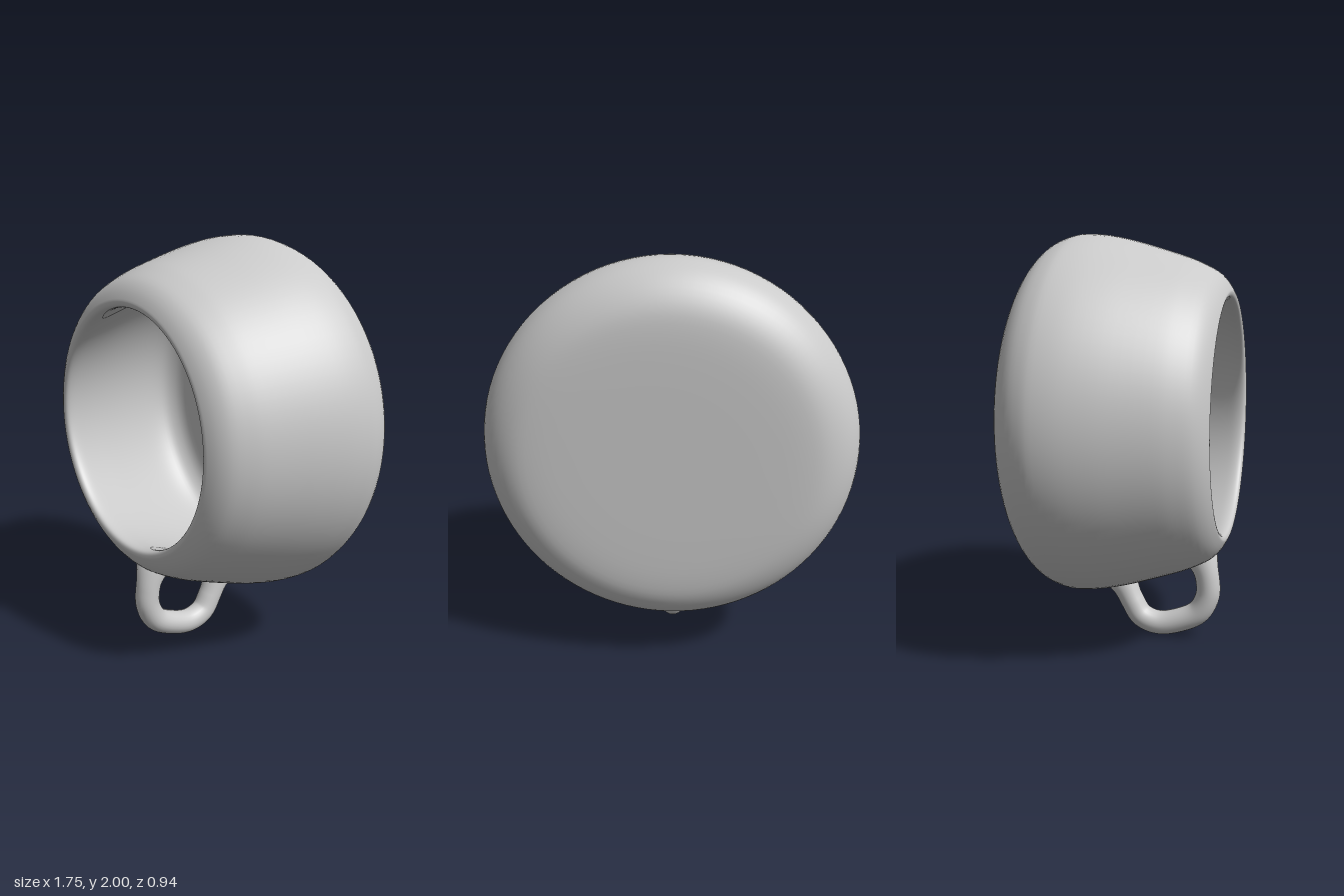
import * as THREE from 'three';

const AXIS_Y = 1.126; // height of the cup's axis

// Smooth thick-walled profile: [radius, position along the axis]
const profile = [
  [0, -0.469], [0.25, -0.469], [0.45, -0.468], [0.6, -0.463], [0.7, -0.446],
  [0.782, -0.402], [0.839, -0.34], [0.867, -0.27], [0.874, -0.21], [0.865, -0.11],
  [0.838, 0.01], [0.802, 0.13], [0.759, 0.26], [0.73, 0.33], [0.692, 0.4],
  [0.65, 0.442], [0.606, 0.467], [0.59, 0.47], [0.574, 0.463], [0.567, 0.445],
  [0.569, 0.415], [0.582, 0.37], [0.611, 0.285], [0.635, 0.215], [0.679, 0.09],
  [0.715, -0.025], [0.74, -0.125], [0.748, -0.2], [0.739, -0.258], [0.709, -0.3],
  [0.66, -0.329], [0.58, -0.341], [0.4, -0.345], [0.2, -0.345], [0, -0.345],
];

// Handle centre line: [z, y]
const handlePath = [
  [0.32, 0.45], [0.347, 0.39], [0.368, 0.31], [0.37, 0.225], [0.325, 0.135],
  [0.22, 0.08], [0.115, 0.06], [0.03, 0.09], [-0.02, 0.165], [-0.056, 0.24],
  [-0.09, 0.315],
];

// Tube along the path, flared where it grows out of the wall
function flaredTube(curve, radius, flare, rings, sides) {
  const geo = new THREE.TubeGeometry(curve, rings, radius, sides, false);
  const pos = geo.attributes.position;
  const centre = new THREE.Vector3();
  const v = new THREE.Vector3();
  const length = curve.getLength();
  for (let i = 0; i <= rings; i++) {
    curve.getPointAt(i / rings, centre);
    const d = Math.min(i, rings - i) / rings * length;
    const scale = 1 + flare * Math.exp(-Math.pow(d / 0.07, 2));
    for (let j = 0; j <= sides; j++) {
      const k = i * (sides + 1) + j;
      v.fromBufferAttribute(pos, k).sub(centre).multiplyScalar(scale).add(centre);
      pos.setXYZ(k, v.x, v.y, v.z);
    }
  }
  return geo;
}

export function createModel() {
  const model = new THREE.Group();
  model.name = 'cup';
  const grey = new THREE.MeshStandardMaterial({ color: 0xcacaca });
  grey.name = 'grey';

  // Bowl: turned shape with its mouth towards the front
  const points = new THREE.SplineCurve(profile.map(([r, z]) => new THREE.Vector2(r, z)))
    .getPoints(102);
  points.forEach((p) => { p.x = Math.max(p.x, 0); });
  const bowlGeo = new THREE.LatheGeometry(points, 96);
  bowlGeo.rotateX(Math.PI / 2);
  const bowl = new THREE.Mesh(bowlGeo, grey);
  bowl.name = 'bowl';
  bowl.position.y = AXIS_Y;
  model.add(bowl);

  // Handle: loop below the bowl
  const curve = new THREE.CatmullRomCurve3(
    handlePath.map(([z, y]) => new THREE.Vector3(0, y, z)));
  const handle = new THREE.Mesh(flaredTube(curve, 0.06, 0.6, 72, 24), grey);
  handle.name = 'handle';
  model.add(handle);

  return model;
}
